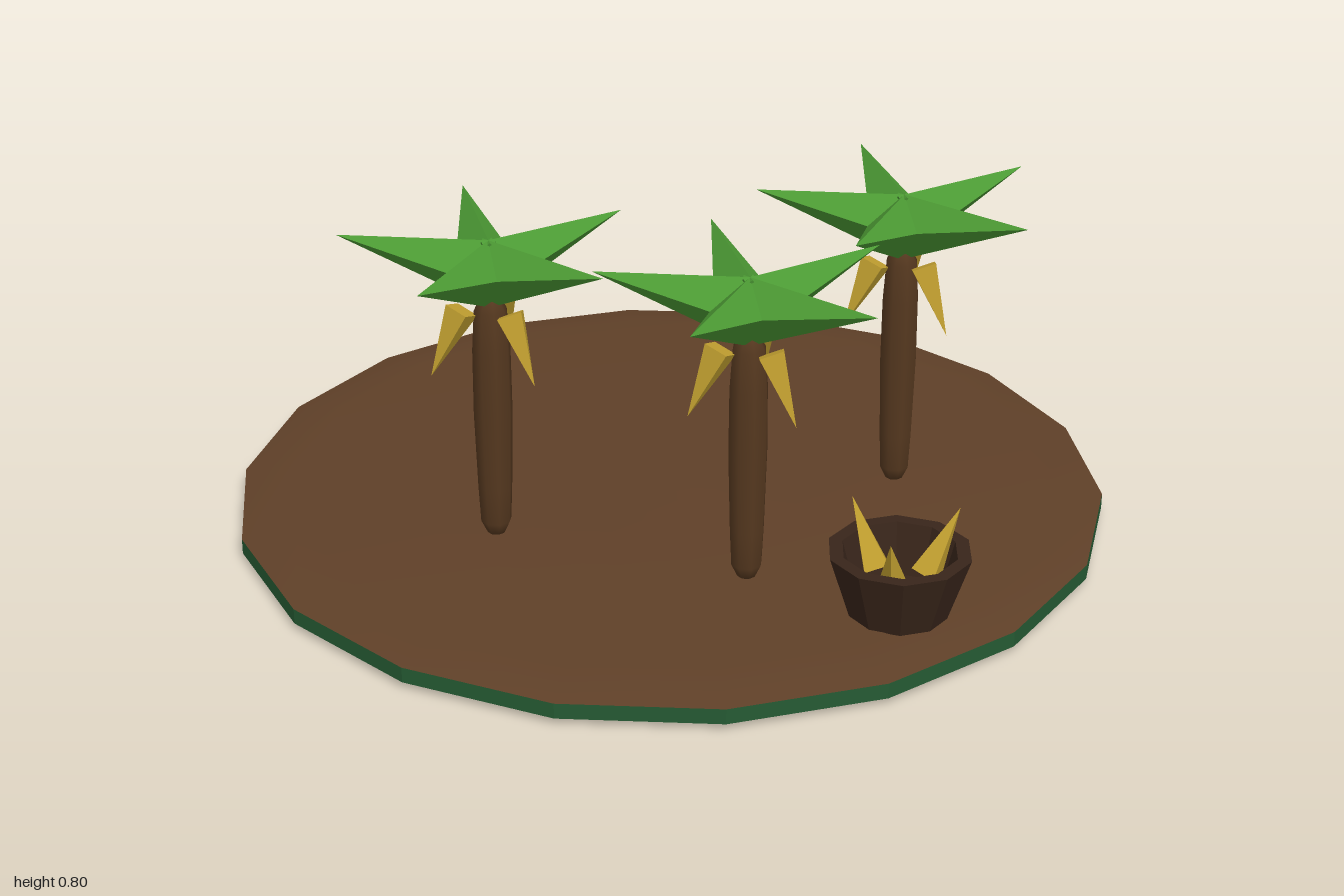
import * as THREE from 'three';

const material = (color, flatShading = true) => new THREE.MeshStandardMaterial({ color, flatShading });
const soil = material(0x5f4028, false);
const turf = material(0x255a33);
const bark = material(0x55381f, false);
const leaf = material(0x4c9a34);
const fruit = material(0xc2a030);
const clay = material(0x38251a);

function addMesh(parent, name, geometry, mat) {
  const mesh = new THREE.Mesh(geometry, mat);
  mesh.name = name;
  parent.add(mesh);
  return mesh;
}

function lathe(profile, sides) {
  const points = profile.map(([r, y]) => new THREE.Vector2(r, y));
  return new THREE.LatheGeometry(points, sides, Math.PI / 2);
}

// Four-sided spike from (r, y) to (r, y), turned about the vertical axis
function addSpike(parent, name, mat, radius, from, to, angle) {
  const dx = to[0] - from[0], dy = to[1] - from[1];
  const length = Math.hypot(dx, dy);
  const geometry = new THREE.ConeGeometry(radius, length, 4);
  geometry.translate(0, length / 2, 0);
  geometry.rotateZ(Math.atan2(dy, dx) - Math.PI / 2);
  geometry.translate(from[0], from[1], 0);
  addMesh(parent, name, geometry, mat).rotation.y = angle;
}

function createTree(x, z) {
  const tree = new THREE.Group();
  tree.name = 'palmTree';
  tree.position.set(x, 0, z);

  // Trunk, pointed at the foot
  addMesh(tree, 'trunk', lathe([
    [0, 0.095], [0.02, 0.105], [0.034, 0.135], [0.038, 0.22], [0.043, 0.4],
    [0.042, 0.55], [0.036, 0.64], [0.02, 0.67], [0, 0.68],
  ], 8), bark);

  // Star of five leaves
  for (let i = 0; i < 5; i++) {
    const angle = THREE.MathUtils.degToRad(87 + i * 72);
    addSpike(tree, 'leaf', leaf, 0.075, [0, 0.725], [0.325, 0.8], angle);
  }

  // Three hanging fruits
  for (let i = 0; i < 3; i++) {
    addSpike(tree, 'fruit', fruit, 0.038, [0.062, 0.645], [0.133, 0.5], Math.PI + i * Math.PI * 2 / 3);
  }
  return tree;
}

function createBasket(x, z) {
  const basket = new THREE.Group();
  basket.name = 'fruitBasket';
  basket.position.set(x, 0, z);

  // Hollow bowl: outside, rim, inside
  addMesh(basket, 'bowl', lathe([
    [0, 0.075], [0.108, 0.075], [0.155, 0.22], [0.125, 0.22], [0.095, 0.11], [0, 0.11],
  ], 10), clay);

  // Fruits standing tip up
  for (let i = 0; i < 3; i++) {
    addSpike(basket, 'basketFruit', fruit, 0.038, [0.062, 0.155], [0.133, 0.3], i * Math.PI * 2 / 3);
  }
  return basket;
}

export function createModel() {
  const model = new THREE.Group();
  model.name = 'palmIsland';

  // Thin island: green rim and underside, brown top
  addMesh(model, 'islandRim', lathe([[0, 0], [0.34, 0.001], [0.87, 0.006], [1, 0.015], [1, 0.05]], 18), turf);
  addMesh(model, 'islandTop', lathe([[1, 0.05], [0.87, 0.077], [0.34, 0.083], [0, 0.085]], 18), soil);

  for (const [x, z] of [[-0.465, 0.22], [0.47, 0.22], [0.003, 0.565]]) model.add(createTree(x, z));
  model.add(createBasket(0.28, 0.75));
  return model;
}
